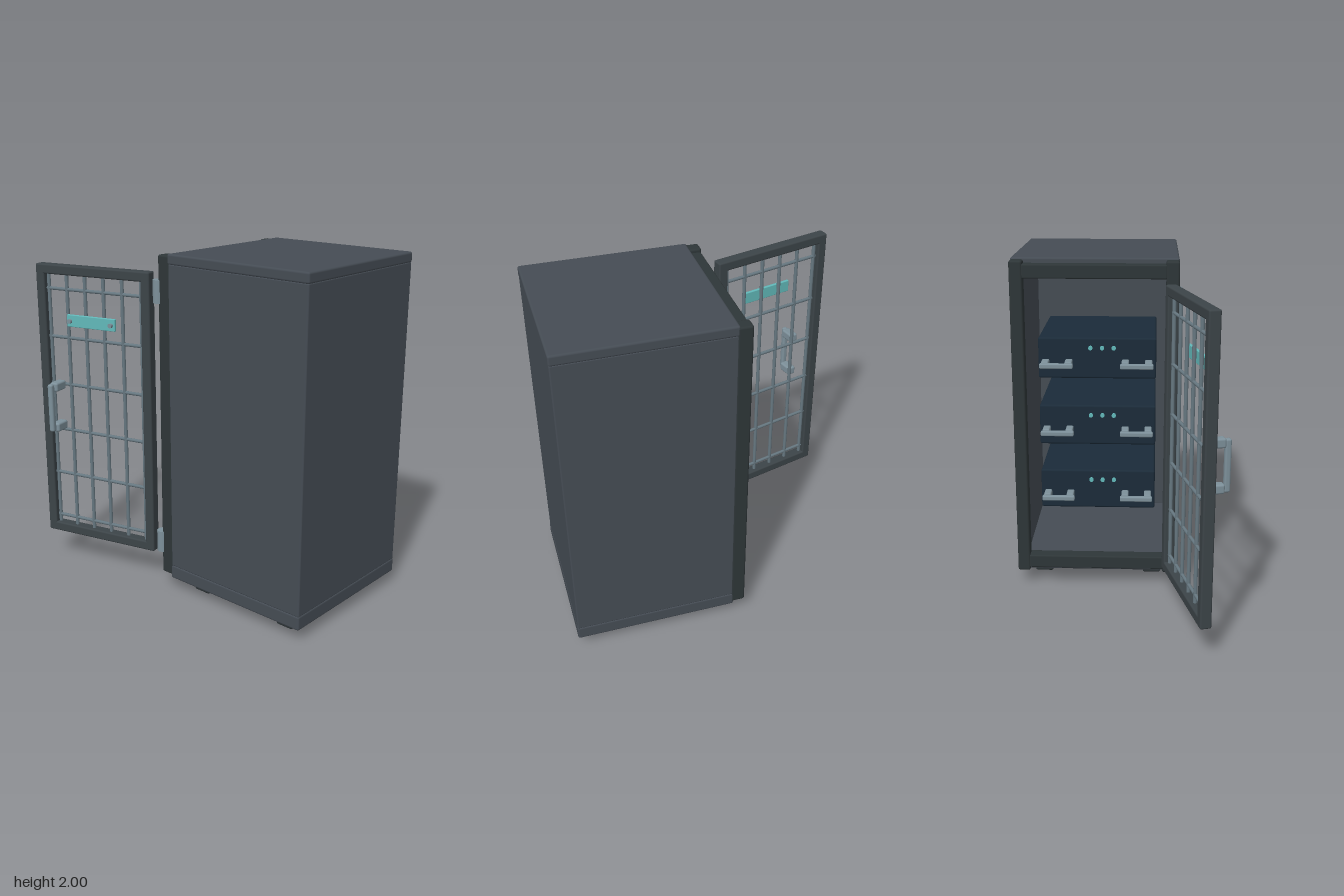
import * as THREE from 'three';
import { RoundedBoxGeometry } from 'three/addons/geometries/RoundedBoxGeometry.js';

const mat = (color) => new THREE.MeshStandardMaterial({ color });
const shell = mat(0x454c54), trim = mat(0x2e3638), inner = mat(0x1b2b39);
const doorMat = mat(0x3c4448), steel = mat(0x7d909a), rod = mat(0x667780), teal = mat(0x62b9ba);

// Rounded box given by its min and max corners
function box(parent, name, material, [x0, y0, z0], [x1, y1, z1], r = 0.008) {
  const m = new THREE.Mesh(new RoundedBoxGeometry(x1 - x0, y1 - y0, z1 - z0, 2, r), material);
  m.position.set((x0 + x1) / 2, (y0 + y1) / 2, (z0 + z1) / 2);
  m.name = name;
  parent.add(m);
  return m;
}

// Cylinder along the given axis
function cyl(parent, name, material, r, len, pos, axis = 'y') {
  const m = new THREE.Mesh(new THREE.CylinderGeometry(r, r, len, 16), material);
  if (axis === 'x') m.rotation.z = Math.PI / 2;
  if (axis === 'z') m.rotation.x = Math.PI / 2;
  m.position.set(...pos);
  m.name = name;
  parent.add(m);
  return m;
}

function buildCabinet(parent) {
  const g = new THREE.Group();
  g.name = 'cabinet';
  parent.add(g);
  // Panels
  box(g, 'topPanel', shell, [-0.35, 1.94, -0.015], [0.61, 2.0, 0.93], 0.012);
  box(g, 'bottomPanel', shell, [-0.35, 0.07, -0.015], [0.61, 0.155, 0.93], 0.012);
  box(g, 'rightWall', shell, [-0.348, 0.15, -0.01], [-0.3, 1.945, 0.927]);
  box(g, 'leftWall', shell, [0.56, 0.15, -0.01], [0.608, 1.945, 0.927]);
  box(g, 'closedWall', shell, [-0.347, 0.15, 0.88], [0.607, 1.945, 0.928]);
  // Door surround
  box(g, 'surroundPostRight', trim, [-0.35, 0.09, -0.085], [-0.275, 1.99, 0.0], 0.012);
  box(g, 'surroundPostLeft', trim, [0.535, 0.09, -0.085], [0.61, 1.99, 0.0], 0.012);
  box(g, 'surroundTopRail', trim, [-0.28, 1.89, -0.082], [0.54, 1.97, 0.0]);
  box(g, 'surroundBottomRail', trim, [-0.28, 0.11, -0.082], [0.54, 0.19, 0.0]);
  // Feet
  for (const x of [-0.21, 0.47]) for (const z of [0.155, 0.77])
    box(g, 'foot', trim, [x - 0.055, 0, z - 0.055], [x + 0.055, 0.08, z + 0.055], 0.012);
  // Hinges
  for (const y of [0.285, 1.785]) cyl(g, 'hinge', steel, 0.034, 0.13, [-0.33, y, -0.097]);
}

// Boxed unit with two pull handles and a row of indicator lamps
function buildUnit(parent, top) {
  const g = new THREE.Group();
  g.name = 'storageUnit';
  g.position.y = top;
  parent.add(g);
  box(g, 'unitBody', inner, [-0.225, -0.25, 0.17], [0.485, 0, 0.86], 0.012);
  for (const x of [-0.11, 0.37]) {
    for (const s of [-1, 1])
      box(g, 'handlePost', steel, [x + s * 0.07 - 0.022, -0.175, 0.09], [x + s * 0.07 + 0.022, -0.13, 0.175]);
    box(g, 'handleGrip', steel, [x - 0.1, -0.168, 0.065], [x + 0.1, -0.137, 0.097]);
  }
  for (const x of [0.03, 0.1, 0.17]) cyl(g, 'indicatorLamp', teal, 0.013, 0.02, [x, -0.06, 0.165], 'z');
}

// Door: local x runs from hinge edge to free edge, -z is the outer side
function buildDoor(parent) {
  const g = new THREE.Group(), W = 0.77, b = 0.058, t = 0.0325;
  g.name = 'door';
  g.position.set(-0.3, 0, -0.183);
  g.rotation.y = THREE.MathUtils.degToRad(105);
  parent.add(g);
  for (const x of [0, W - b]) box(g, 'doorStile', doorMat, [x, 0.18, -t], [x + b, 1.88, t], 0.01);
  for (const y of [0.18, 1.88 - b]) box(g, 'doorRail', doorMat, [0.01, y, -t], [W - 0.01, y + b, t], 0.01);
  // Grille
  for (let i = 0; i < 6; i++) {
    cyl(g, 'verticalBar', rod, 0.011, 1.62, [0.07 + i * 0.126, 1.03, 0]);
    cyl(g, 'crossBar', rod, 0.01, W - 0.08, [W / 2, 0.285 + i * 0.29, 0], 'x');
  }
  // Plate with two bolts
  box(g, 'plate', teal, [0.22, 1.525, -0.05], [0.55, 1.597, -0.032], 0.004);
  for (const x of [0.245, 0.525]) cyl(g, 'plateBolt', steel, 0.013, 0.025, [x, 1.56, -0.055], 'z');
  // Pull handle
  for (const y of [0.912, 1.163])
    box(g, 'pullPost', steel, [0.59, y - 0.027, -0.125], [0.645, y + 0.027, -0.03], 0.012);
  box(g, 'pullGrip', steel, [0.608, 0.89, -0.155], [0.642, 1.185, -0.12], 0.012);
}

export function createModel() {
  const model = new THREE.Group();
  model.name = 'storageCabinet';
  buildCabinet(model);
  for (const top of [0.66, 1.08, 1.5]) buildUnit(model, top);
  buildDoor(model);
  return model;
}
